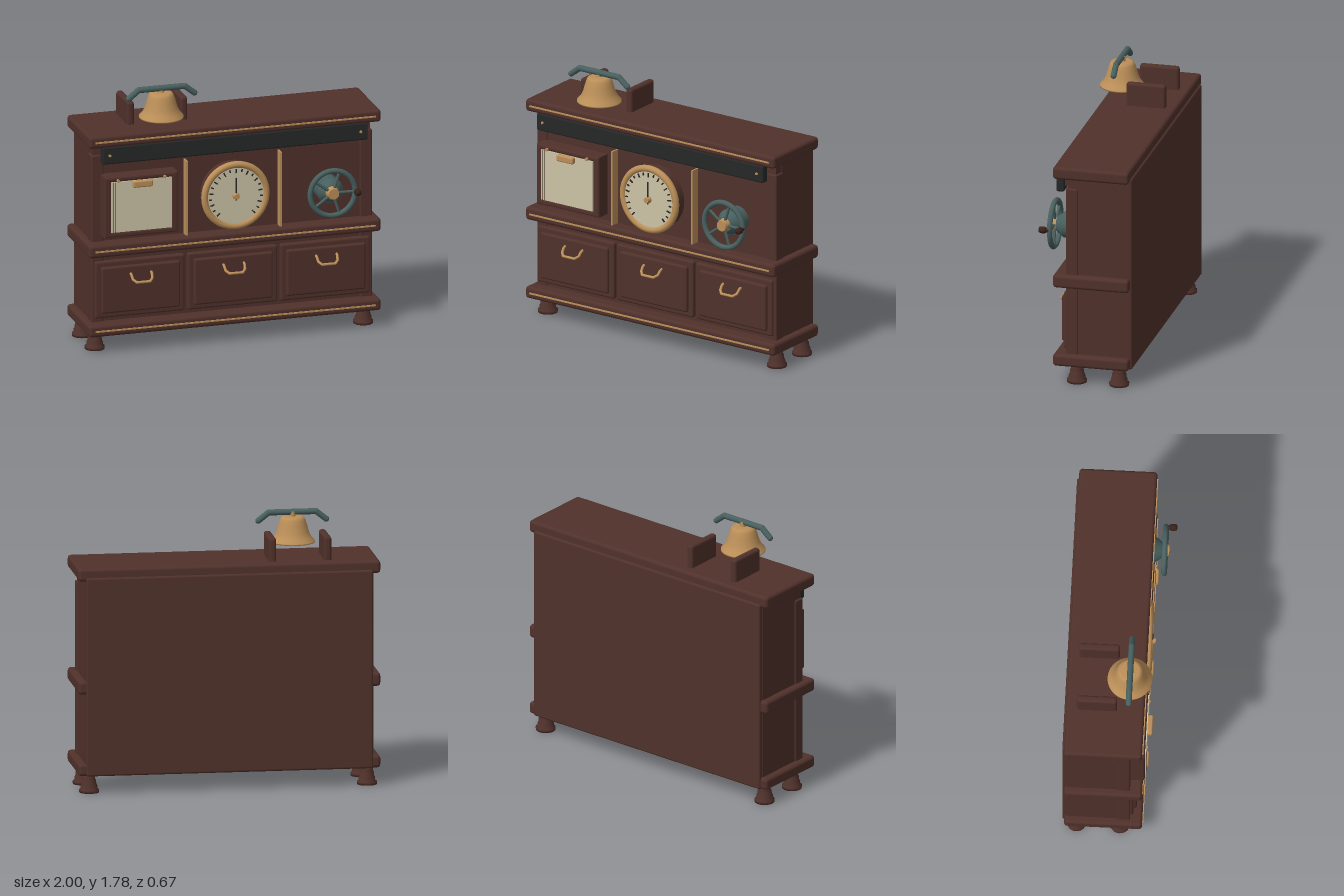
import * as THREE from 'three';
import { RoundedBoxGeometry } from 'three/addons/geometries/RoundedBoxGeometry.js';

export function createModel() {
  const model = new THREE.Group();
  model.name = 'cabinet';
  const mat = (name, color, side = THREE.FrontSide) => {
    const m = new THREE.MeshStandardMaterial({ color, side });
    m.name = name;
    return m;
  };
  const wood = mat('dark wood', 0x50312b);
  const darkWood = mat('knob wood', 0x3a221c);
  const brass = mat('brass', 0xbb8f58, THREE.DoubleSide);
  const cream = mat('cream', 0xcdc3a6);
  const teal = mat('teal iron', 0x48605f);
  const black = mat('black', 0x262827);

  const add = (name, geo, material, x = 0, y = 0, z = 0, parent = model) => {
    const mesh = new THREE.Mesh(geo, material);
    mesh.name = name;
    mesh.position.set(x, y, z);
    parent.add(mesh);
    return mesh;
  };
  // Box given by its limits, with rounded edges when r > 0
  const block = (name, material, x0, x1, y0, y1, z0, z1, r = 0) => {
    const w = x1 - x0, h = y1 - y0, d = z1 - z0;
    const geo = r ? new RoundedBoxGeometry(w, h, d, 3, r) : new THREE.BoxGeometry(w, h, d);
    return add(name, geo, material, (x0 + x1) / 2, (y0 + y1) / 2, (z0 + z1) / 2);
  };
  // Cylinder lying along z
  const disc = (name, material, x, y, z0, z1, rBack, rFront = rBack, sides = 32) => {
    const geo = new THREE.CylinderGeometry(rFront, rBack, z1 - z0, sides).rotateX(Math.PI / 2);
    return add(name, geo, material, x, y, (z0 + z1) / 2);
  };
  // Tube through straight segments
  const rod = (name, material, points, radius) => {
    const path = new THREE.CurvePath();
    for (let i = 1; i < points.length; i++) {
      path.add(new THREE.LineCurve3(new THREE.Vector3(...points[i - 1]), new THREE.Vector3(...points[i])));
    }
    const g = new THREE.Group();
    g.name = name;
    model.add(g);
    path.curves.forEach((c) => add(name + 'Segment', new THREE.TubeGeometry(c, 1, radius, 10), material, 0, 0, 0, g));
    points.forEach((p) => add(name + 'Joint', new THREE.SphereGeometry(radius, 10, 8), material, ...p, g));
  };
  const lathe = (pts, n = 32) => new THREE.LatheGeometry(pts.map((p) => new THREE.Vector2(...p)), n);

  // Carcass, corner posts and back panel
  block('carcass', wood, -0.95, 0.95, 0.13, 1.44, -0.31, 0.1);
  block('backPanel', wood, -0.95, 0.95, 0.12, 1.445, -0.333, -0.29, 0.014);
  for (const s of [-1, 1]) {
    block('sidePanel', wood, s * 0.92 - 0.035, s * 0.92 + 0.035, 0.13, 1.43, -0.3, 0.035);
    block('cornerPost', wood, s * 0.92 - 0.042, s * 0.92 + 0.042, 0.11, 1.35, 0.03, 0.112, 0.01);
  }

  // Three moulded shelves with brass inlay lines
  for (const [y0, y1] of [[0.12, 0.202], [0.665, 0.755], [1.42, 1.505]]) {
    block('shelf', wood, -1, 1, y0, y1, -0.32, 0.192, 0.022);
    const y = (y0 + y1) / 2;
    block('inlayLine', brass, -0.96, 0.96, y - 0.005, y + 0.005, 0.19, 0.199);
  }

  // Turned feet
  const footProfile = [[0, 0], [0.065, 0], [0.066, 0.018], [0.055, 0.028], [0.055, 0.045],
    [0.048, 0.055], [0.046, 0.08], [0.039, 0.092], [0.041, 0.13], [0, 0.13]];
  for (const x of [-0.92, 0.92]) {
    for (const z of [0.045, -0.24]) add('foot', lathe(footProfile, 24), wood, x, 0, z);
  }

  // Drawers with raised panels and drooping handles
  for (const x of [-0.635, 0, 0.635]) {
    block('drawerFront', wood, x - 0.307, x + 0.307, 0.23, 0.62, 0.09, 0.132, 0.014);
    block('drawerPanel', wood, x - 0.27, x + 0.27, 0.265, 0.583, 0.11, 0.153, 0.014);
    rod('drawerHandle', brass, [[x - 0.07, 0.528, 0.15], [x - 0.07, 0.522, 0.168], [x - 0.066, 0.496, 0.19],
      [x - 0.045, 0.481, 0.21], [x + 0.045, 0.481, 0.21], [x + 0.066, 0.496, 0.19],
      [x + 0.07, 0.522, 0.168], [x + 0.07, 0.528, 0.15]], 0.009);
  }

  // Dark rail under the top, with star pins
  block('rail', black, -0.91, 0.91, 1.305, 1.425, 0.135, 0.19, 0.012);
  block('railBacking', wood, -0.88, 0.88, 1.34, 1.42, 0.09, 0.14);
  for (const x of [-0.86, 0.86]) disc('railPin', brass, x, 1.365, 0.185, 0.198, 0.012, 0.008, 6);

  // Brass dividers
  for (const x of [-0.323, 0.321]) block('divider', brass, x - 0.006, x + 0.006, 0.755, 1.267, 0.095, 0.163);

  // Chart board with sheet, clip and pins
  const frame = new THREE.Shape();
  frame.moveTo(-0.25, -0.208).lineTo(0.25, -0.208).lineTo(0.25, 0.208).lineTo(-0.25, 0.208).closePath();
  const hole = new THREE.Path();
  hole.moveTo(-0.207, -0.172).lineTo(-0.207, 0.176).lineTo(0.207, 0.176).lineTo(0.207, -0.172).closePath();
  frame.holes.push(hole);
  add('chartFrame', new THREE.ExtrudeGeometry(frame, { depth: 0.095, bevelThickness: 0.01, bevelSize: 0.01,
    bevelOffset: -0.01, bevelSegments: 2 }), wood, -0.65, 1.01, 0.1);
  block('chartBoard', wood, -0.88, -0.42, 0.82, 1.2, 0.1, 0.19);
  block('chartSheet', cream, -0.857, -0.443, 0.84, 1.187, 0.203, 0.212);
  for (const x of [-0.842, -0.83]) block('chartMargin', darkWood, x - 0.001, x + 0.001, 0.84, 1.187, 0.211, 0.214);
  block('chartClip', brass, -0.715, -0.58, 1.145, 1.19, 0.21, 0.245, 0.01);
  for (const x of [-0.81, -0.49]) disc('chartPin', brass, x, 1.195, 0.2, 0.222, 0.01, 0.01, 12);

  // Gauge with brass bezel, ticks, needle and hub
  const gy = 1.012;
  disc('gaugeCase', wood, 0, gy, 0.09, 0.175, 0.215, 0.215, 48);
  disc('gaugeFace', cream, 0, gy, 0.17, 0.2, 0.2, 0.2, 48);
  add('gaugeBezel', new THREE.TorusGeometry(0.211, 0.023, 12, 64), brass, 0, gy, 0.19);
  for (let i = 0; i <= 20; i++) {
    const a = (-135 + i * 13.5) * Math.PI / 180;
    const len = i % 2 ? 0.018 : 0.028;
    const r = 0.184 - len / 2;
    const tick = add('gaugeTick', new THREE.BoxGeometry(0.008, len, 0.008), black, r * Math.sin(a), gy + r * Math.cos(a), 0.203);
    tick.rotation.z = -a;
  }
  block('gaugeNeedle', black, -0.004, 0.004, gy - 0.03, gy + 0.125, 0.208, 0.215);
  disc('gaugeHub', brass, 0, gy, 0.195, 0.232, 0.024, 0.018, 20);

  // Handwheel with cone mount, spokes, hub and crank knob
  const wx = 0.645, wy = 0.985;
  disc('wheelFlange', teal, wx, wy, 0.09, 0.195, 0.088);
  disc('wheelCone', teal, wx, wy, 0.195, 0.245, 0.086, 0.05);
  add('wheelRim', new THREE.TorusGeometry(0.154, 0.018, 12, 48), teal, wx, wy, 0.26);
  for (let i = 0; i < 5; i++) {
    const a = i * Math.PI * 2 / 5;
    const spoke = add('wheelSpoke', new THREE.CylinderGeometry(0.01, 0.01, 0.15, 10), teal,
      wx + 0.078 * Math.cos(a), wy + 0.078 * Math.sin(a), 0.26);
    spoke.rotation.z = a - Math.PI / 2;
  }
  disc('wheelHub', brass, wx, wy, 0.235, 0.288, 0.046, 0.036, 24);
  disc('knobStem', darkWood, wx + 0.157, wy + 0.005, 0.26, 0.29, 0.014, 0.014, 16);
  add('crankKnob', lathe([[0, 0], [0.016, 0], [0.022, 0.012], [0.023, 0.035], [0.018, 0.05], [0, 0.054]], 20)
    .rotateX(Math.PI / 2), darkWood, wx + 0.157, wy + 0.005, 0.28);

  // Bell with clapper, bent bar and two upright cheeks
  const bx = -0.477, bz = 0.087;
  add('bell', lathe([[0.13, 1.575], [0.147, 1.566], [0.147, 1.575], [0.125, 1.598], [0.107, 1.635], [0.095, 1.68],
    [0.084, 1.715], [0.075, 1.732], [0.06, 1.738], [0, 1.738]], 40), brass, bx, 0, bz);
  add('bellCap', new THREE.CylinderGeometry(0.02, 0.02, 0.04, 16), brass, bx, 1.75, bz);
  add('clapperRod', new THREE.CylinderGeometry(0.008, 0.008, 0.15, 8), black, bx, 1.65, bz);
  add('clapper', new THREE.SphereGeometry(0.033, 20, 12), teal, bx, 1.58, bz);
  rod('bellBar', teal, [[-0.7, 1.712, 0.09], [-0.632, 1.765, 0.09], [-0.318, 1.765, 0.09], [-0.25, 1.712, 0.09]], 0.02);
  for (const x of [-0.661, -0.296]) block('bellCheek', wood, x - 0.024, x + 0.024, 1.49, 1.662, -0.253, 0.012, 0.018);

  return model;
}
